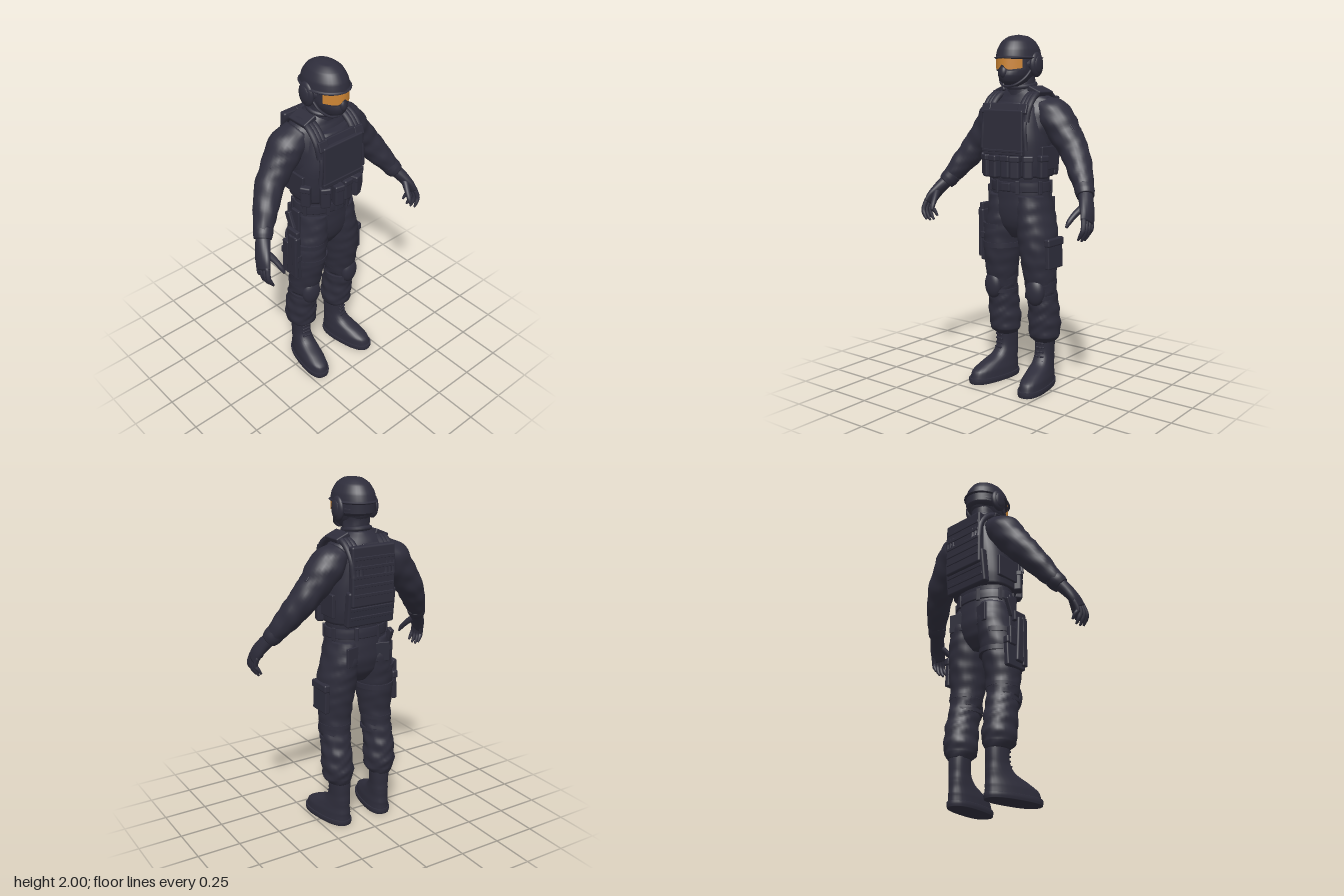
import * as THREE from 'three';
import { RoundedBoxGeometry } from 'three/addons/geometries/RoundedBoxGeometry.js';

const cloth = new THREE.MeshStandardMaterial({ color: 0x2e2d3b });
cloth.name = 'dark navy gear';
const amber = new THREE.MeshStandardMaterial({ color: 0xcc8433, side: THREE.DoubleSide });
amber.name = 'amber lens';

const V3 = (x, y, z) => new THREE.Vector3(x, y, z);

// Smooth closed skin through rows [x, y, z, side radius, depth radius], listed top to bottom.
// level: rings stay horizontal; square < 1 makes boxier rings; folds adds cloth creases.
function loft(rows, { level = false, square = 1, folds = 0, seg = 28, per = 6 } = {}) {
  const path = new THREE.CatmullRomCurve3(rows.map(r => V3(r[0], r[1], r[2])));
  const radii = new THREE.CatmullRomCurve3(rows.map(r => V3(r[3], r[4], 0)));
  const n = (rows.length - 1) * per, pos = [], idx = [];
  const power = v => Math.sign(v) * Math.abs(v) ** square;
  for (let i = 0; i <= n; i++) {
    const t = i / n, c = path.getPoint(t), r = radii.getPoint(t);
    const T = level ? V3(0, -1, 0) : path.getTangent(t);
    const V = V3(0, 0, 1).addScaledVector(T, -T.z).normalize();
    const U = V.clone().cross(T);
    for (let j = 0; j < seg; j++) {
      const a = j / seg * Math.PI * 2;
      const k = 1 + folds * Math.sin(c.y * 75 + 2.5 * Math.sin(a * 2 + c.y * 9)) * Math.sin(a * 3 + c.y * 17);
      const p = c.clone().addScaledVector(U, power(Math.cos(a)) * r.x * k)
        .addScaledVector(V, power(Math.sin(a)) * r.y * k);
      pos.push(p.x, p.y, p.z);
    }
  }
  for (let i = 0; i < n; i++) for (let j = 0; j < seg; j++) {
    const a = i * seg + j, b = i * seg + (j + 1) % seg;
    idx.push(a, b, a + seg, b, b + seg, a + seg);
  }
  const top = pos.length / 3, end = n * seg;
  for (const r of [rows[0], rows.at(-1)]) pos.push(r[0], r[1], r[2]);
  for (let j = 0; j < seg; j++) {
    const k = (j + 1) % seg;
    idx.push(top, k, j, top + 1, end + j, end + k);
  }
  const g = new THREE.BufferGeometry();
  g.setAttribute('position', new THREE.Float32BufferAttribute(pos, 3));
  g.setIndex(idx);
  g.computeVertexNormals();
  return g;
}

export function createModel() {
  const model = new THREE.Group();
  model.name = 'armouredOfficer';
  const add = (name, geo, parent = model, mat = cloth) => {
    const m = new THREE.Mesh(geo, mat);
    m.name = name;
    parent.add(m);
    return m;
  };
  const box = (name, w, h, d, x, y, z, ry = 0, rx = 0, rz = 0, parent = model) => {
    const m = add(name, new RoundedBoxGeometry(w, h, d, 2, Math.min(w, h, d) * 0.25), parent);
    m.position.set(x, y, z);
    m.rotation.set(rx, ry, rz);
    return m;
  };
  const ball = (name, x, y, z, rx, ry, rz) => {
    const m = add(name, new THREE.SphereGeometry(1, 28, 18));
    m.position.set(x, y, z);
    m.scale.set(rx, ry, rz);
    return m;
  };
  const tube = (name, pts, r, seg = 24) =>
    add(name, new THREE.TubeGeometry(new THREE.CatmullRomCurve3(pts.map(p => V3(...p))), seg, r, 8));

  // Head, face mask and neck
  add('maskedHead', loft([[0, 1.92, -0.01, 0.085, 0.11], [0, 1.86, -0.01, 0.092, 0.122],
    [0, 1.81, 0, 0.09, 0.13], [0, 1.78, 0.012, 0.082, 0.126], [0, 1.745, 0.02, 0.064, 0.105],
    [0, 1.72, 0.02, 0.035, 0.06]], { level: true }));
  add('neck', loft([[0, 1.84, -0.045, 0.075, 0.085], [0, 1.76, -0.04, 0.072, 0.075],
    [0, 1.71, -0.04, 0.078, 0.08], [0, 1.65, -0.05, 0.1, 0.09]], { level: true, folds: 0.03 }));
  tube('neckGaiterFold', Array.from({ length: 13 }, (_, i) => {
    const a = i / 12 * Math.PI * 2;
    return [0.072 * Math.cos(a), 1.725 - 0.012 * Math.sin(a), -0.04 + 0.078 * Math.sin(a)];
  }), 0.013, 36);
  const nose = ball('maskNose', 0, 1.8, 0.125, 0.022, 0.035, 0.022);
  nose.rotation.x = -0.2;

  // Helmet shell, with the rear lower than the brow
  add('helmet', loft([[0, 2.0, -0.01, 0.004, 0.005], [0, 1.992, -0.01, 0.045, 0.06],
    [0, 1.965, -0.01, 0.082, 0.108], [0, 1.92, -0.01, 0.106, 0.138], [0, 1.88, -0.01, 0.113, 0.148],
    [0, 1.868, -0.01, 0.113, 0.148]], { level: true, seg: 36 }));
  const rear = add('helmetRear', new THREE.CylinderGeometry(1, 0.98, 0.06, 30, 1, true, Math.PI * 0.42, Math.PI * 1.16));
  rear.position.set(0, 1.85, -0.01);
  rear.scale.set(0.113, 1, 0.147);
  rear.material = cloth;
  ball('helmetRearLining', 0, 1.84, -0.035, 0.108, 0.06, 0.115);

  // Goggles: curved lens with a nose notch, in a slightly larger frame
  const visor = (name, w, h, z, mat) => {
    const g = new THREE.PlaneGeometry(w, h, 24, 4), p = g.attributes.position;
    for (let i = 0; i < p.count; i++) {
      const x = p.getX(i), low = 0.5 - p.getY(i) / h;
      p.setY(i, p.getY(i) + 1.842 + low * (0.028 * Math.exp(-((x / 0.02) ** 2)) + 1.2 * x * x));
      p.setZ(i, z - 8 * x * x);
    }
    g.computeVertexNormals();
    return add(name, g, model, mat);
  };
  visor('goggleFrame', 0.196, 0.084, 0.138, cloth);
  visor('goggleLens', 0.18, 0.066, 0.142, amber);

  // Main clothing masses
  add('shirt', loft([[0, 1.72, -0.05, 0.07, 0.07], [0, 1.69, -0.055, 0.12, 0.09],
    [0, 1.65, -0.06, 0.185, 0.108], [0, 1.57, -0.05, 0.205, 0.13], [0, 1.45, -0.035, 0.195, 0.145],
    [0, 1.33, -0.03, 0.182, 0.14], [0, 1.17, -0.03, 0.175, 0.125]], { level: true, folds: 0.015 }));
  add('vest', loft([[0, 1.635, -0.045, 0.13, 0.13], [0, 1.6, -0.042, 0.15, 0.15],
    [0, 1.52, -0.032, 0.17, 0.164], [0, 1.42, -0.027, 0.188, 0.165], [0, 1.3, -0.03, 0.192, 0.155],
    [0, 1.225, -0.03, 0.186, 0.142]], { level: true, square: 0.75, seg: 40 }));
  add('hips', loft([[0, 1.22, -0.03, 0.172, 0.125], [0, 1.12, -0.032, 0.183, 0.13],
    [0, 1.02, -0.035, 0.195, 0.132], [0, 0.94, -0.035, 0.16, 0.115], [0, 0.87, -0.035, 0.05, 0.07]],
  { level: true, folds: 0.012 }));
  add('belt', loft([[0, 1.195, -0.03, 0.184, 0.137], [0, 1.17, -0.031, 0.186, 0.139],
    [0, 1.14, -0.032, 0.187, 0.138]], { level: true, seg: 36 }));
  box('beltBuckle', 0.06, 0.045, 0.02, 0, 1.167, 0.108);
  for (let i = 0; i < 8; i++) {
    const a = (i + 0.5) / 8 * Math.PI * 2;
    box('beltLoop', 0.022, 0.075, 0.012, 0.187 * Math.sin(a), 1.165, -0.031 + 0.14 * Math.cos(a), a);
  }

  // Vest front: plate, chest flap and ammunition pouches
  box('chestPlate', 0.27, 0.25, 0.03, 0, 1.47, 0.128);
  box('chestFlap', 0.2, 0.07, 0.02, 0, 1.595, 0.112, 0, -0.3);
  box('chestWebbing', 0.28, 0.014, 0.012, 0, 1.37, 0.142);
  const pouches = [[-0.185, 0.05, -1.0], [-0.115, 0.125, -0.55], [-0.045, 0.15, -0.2],
    [0.025, 0.135, 0.05], [0.09, 0.14, 0.3], [0.145, 0.1, 0.7], [0.19, 0.03, 1.3]];
  for (const [x, z, ry] of pouches) {
    box('pouch', 0.056, 0.12, 0.05, x, 1.28, z, ry);
    box('pouchFlap', 0.06, 0.035, 0.058, x, 1.33, z, ry);
  }

  // Vest back: panel, webbing and drag strap
  box('backPanel', 0.27, 0.33, 0.045, 0, 1.5, -0.198);
  box('lowerBackPanel', 0.3, 0.2, 0.045, 0, 1.32, -0.18, 0, -0.12);
  for (let i = 0; i < 5; i++) box('backWebbing', 0.25, 0.018, 0.01, 0, 1.4 + i * 0.05, -0.221);
  for (let i = 0; i < 2; i++) box('lowerBackWebbing', 0.27, 0.018, 0.01, 0, 1.27 + i * 0.05, -0.197 - i * 0.006, 0, -0.12);
  box('dragStrap', 0.1, 0.03, 0.02, 0, 1.655, -0.185, 0, 0.4);

  for (const s of [1, -1]) {
    const side = rows => rows.map(([x, ...r]) => [x * s, ...r]);

    // Ear protection and chin strap
    ball('earCup', s * 0.108, 1.838, -0.028, 0.024, 0.068, 0.054);
    ball('earCupCap', s * 0.12, 1.838, -0.028, 0.016, 0.05, 0.038);
    tube('chinStrap', side([[0.1, 1.82, 0], [0.085, 1.765, 0.05], [0.04, 1.727, 0.085], [0, 1.72, 0.09]]), 0.007);

    // Shoulder straps and side closure of the vest
    for (const dx of [-0.022, 0, 0.022]) tube('shoulderStrap', side([[0.12 + dx, 1.53, 0.115],
      [0.125 + dx, 1.61, 0.095], [0.122 + dx, 1.67, 0.035], [0.115 + dx, 1.688, -0.05],
      [0.11 + dx, 1.672, -0.13], [0.105 + dx, 1.6, -0.195], [0.1 + dx, 1.5, -0.21]]), 0.018);
    box('shoulderPad', 0.085, 0.03, 0.13, s * 0.122, 1.695, -0.045, 0, 0, -s * 0.4);
    box('strapBuckle', 0.06, 0.055, 0.02, s * 0.124, 1.6, 0.118, 0, -0.35);
    tube('vestEdge', side([[0.135, 1.57, 0.11], [0.142, 1.5, 0.128], [0.15, 1.38, 0.128]]), 0.012);
    box('sideClosure', 0.02, 0.13, 0.16, s * 0.19, 1.33, -0.04);

    // Sleeve and cuff
    add('sleeve', loft(side([[0.13, 1.615, -0.07, 0.065, 0.085], [0.205, 1.55, -0.075, 0.098, 0.105],
      [0.28, 1.455, -0.07, 0.087, 0.09], [0.345, 1.372, -0.055, 0.08, 0.08],
      [0.42, 1.262, -0.005, 0.066, 0.068], [0.47, 1.187, 0.035, 0.05, 0.052],
      [0.488, 1.158, 0.053, 0.043, 0.043]]), { folds: 0.045, per: 9 }));
    add('gloveCuff', loft(side([[0.46, 1.2, 0.028, 0.052, 0.054], [0.476, 1.176, 0.042, 0.053, 0.054],
      [0.492, 1.152, 0.058, 0.046, 0.048]])));
    box('sleevePatch', 0.012, 0.1, 0.08, s * 0.318, 1.525, -0.07, 0, 0, s * 0.7);

    // Gloved hand
    add('palm', loft(side([[0.485, 1.165, 0.05, 0.038, 0.04], [0.515, 1.12, 0.085, 0.034, 0.046],
      [0.54, 1.075, 0.115, 0.027, 0.052], [0.555, 1.03, 0.14, 0.018, 0.048]]), { seg: 18 }));
    for (let i = 0; i < 4; i++) {
      const z = 0.176 - i * 0.026, drop = [0.01, 0, 0, 0.018][i];
      add('finger', loft(side([[0.55, 1.055, z - 0.012, 0.014, 0.014], [0.56, 0.995, z + 0.008, 0.0135, 0.0135],
        [0.55, 0.96 + drop, z + 0.012 - i * 0.004, 0.012, 0.012],
        [0.532, 0.93 + drop, z + 0.012 - i * 0.006, 0.006, 0.006]]), { seg: 10, per: 4 }));
    }
    add('thumb', loft(side([[0.52, 1.115, 0.1, 0.02, 0.024], [0.493, 1.07, 0.155, 0.017, 0.018],
      [0.478, 1.03, 0.192, 0.014, 0.014], [0.472, 1.003, 0.208, 0.007, 0.007]]), { seg: 10, per: 4 }));

    // Trouser leg with bunched cuff
    add('trouserLeg', loft(side([[0.09, 1.12, -0.03, 0.09, 0.12], [0.103, 1, -0.035, 0.1, 0.134],
      [0.118, 0.9, -0.03, 0.108, 0.13], [0.13, 0.78, -0.026, 0.102, 0.12], [0.136, 0.66, -0.028, 0.092, 0.1],
      [0.141, 0.56, -0.04, 0.084, 0.092]]), { level: true, folds: 0.025, per: 10 }));
    add('lowerTrouserLeg', loft(side([[0.138, 0.62, -0.035, 0.086, 0.092], [0.142, 0.53, -0.045, 0.084, 0.094],
      [0.145, 0.44, -0.06, 0.087, 0.098], [0.143, 0.36, -0.067, 0.09, 0.1], [0.142, 0.3, -0.07, 0.086, 0.092],
      [0.14, 0.265, -0.077, 0.06, 0.07]]), { level: true, folds: 0.05, per: 10 }));
    const pad = ball('kneePad', s * 0.15, 0.575, 0.038, 0.058, 0.082, 0.04);
    pad.rotation.y = s * 0.15;
    for (const y of [0.54, 0.62]) {
      const strap = add('kneeStrap', new THREE.CylinderGeometry(1, 1, 0.02, 28));
      strap.position.set(s * 0.139, y, -0.036);
      strap.scale.set(0.09, 1, 0.097);
    }
    box('cargoPocket', 0.03, 0.16, 0.14, s * 0.226, 0.79, -0.035, 0, 0, s * 0.04);
    box('cargoPocketFlap', 0.038, 0.045, 0.15, s * 0.228, 0.86, -0.035, 0, 0, s * 0.04);
    box('backPocket', 0.1, 0.11, 0.015, s * 0.09, 1.04, -0.158, s * 0.25);

    // Boot, turned out a little
    const boot = new THREE.Group();
    boot.name = 'boot';
    boot.position.set(s * 0.137, 0, -0.08);
    boot.rotation.y = s * 0.18;
    model.add(boot);
    add('bootUpper', loft([[0, 0.31, 0.002, 0.056, 0.066], [0, 0.2, 0.002, 0.052, 0.066],
      [0, 0.145, 0.02, 0.054, 0.086], [0, 0.105, 0.066, 0.06, 0.132], [0, 0.07, 0.096, 0.067, 0.166],
      [0, 0.025, 0.104, 0.07, 0.174]], { level: true, square: 0.85 }), boot);
    add('bootSole', loft([[0, 0.032, 0.105, 0.074, 0.179], [0, 0.018, 0.105, 0.075, 0.18],
      [0, 0, 0.105, 0.072, 0.177]], { level: true, square: 0.8 }), boot);
    for (let i = 0; i < 5; i++) box('bootLace', 0.05, 0.01, 0.014, 0, 0.26 - i * 0.026, 0.066 + 0.007 * Math.max(0, i - 2), 0, 0, 0, boot);
  }

  // Right thigh holster with sidearm, hanger and leg straps
  box('holsterHanger', 0.02, 0.2, 0.06, -0.2, 1.06, -0.02);
  box('holster', 0.04, 0.27, 0.075, -0.238, 0.88, 0.0, 0, 0.06);
  box('holsterSpine', 0.025, 0.29, 0.035, -0.247, 0.875, 0.02);
  box('magazinePouch', 0.03, 0.11, 0.05, -0.235, 0.89, -0.065);
  box('pistolSlide', 0.026, 0.06, 0.09, -0.235, 1.02, -0.005);
  box('pistolGrip', 0.028, 0.11, 0.042, -0.215, 1.08, -0.05, 0, -0.4);
  for (const y of [0.82, 0.93]) {
    const strap = add('holsterStrap', new THREE.CylinderGeometry(1, 1, 0.028, 30));
    strap.position.set(-0.122, y, -0.03);
    strap.scale.set(0.112, 1, 0.132);
  }
  return model;
}
